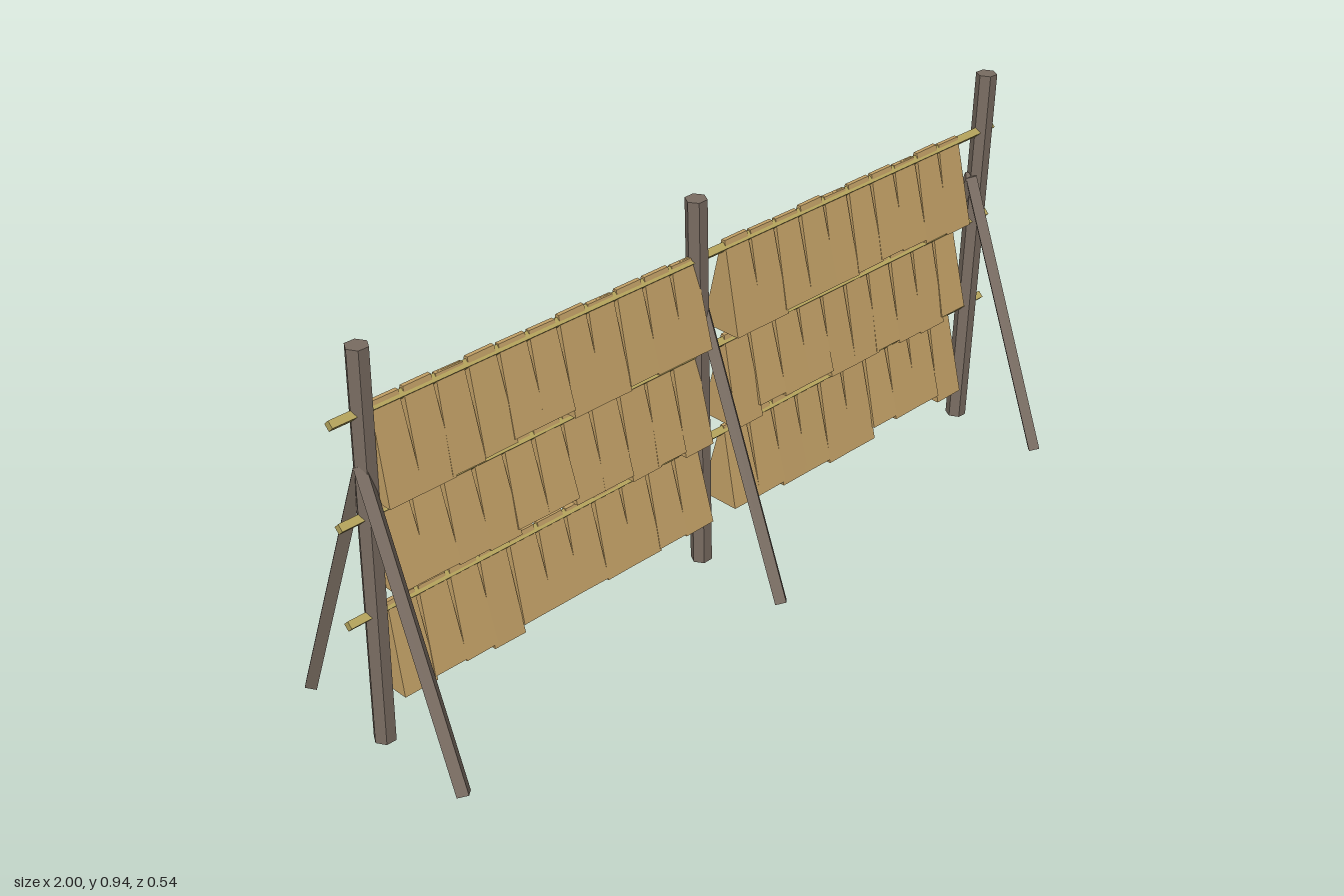
import * as THREE from 'three';

const mat = (color) => new THREE.MeshStandardMaterial({ color, flatShading: true });

// Straight faceted pole between two points
function pole(name, from, to, radius, sides, material, turn = 0) {
  const a = new THREE.Vector3(...from), b = new THREE.Vector3(...to);
  const dir = b.clone().sub(a);
  const geo = new THREE.CylinderGeometry(radius, radius, dir.length(), sides);
  geo.rotateY(turn);
  const mesh = new THREE.Mesh(geo, material);
  mesh.name = name;
  mesh.position.copy(a).add(b).multiplyScalar(0.5);
  mesh.quaternion.setFromUnitVectors(new THREE.Vector3(0, 1, 0), dir.normalize());
  return mesh;
}

// Wedge hanging over a rail: narrow at the top, splayed at the bottom
function wedge(topY, bottomY, tilt, material) {
  const h = topY - bottomY;
  const geo = new THREE.BoxGeometry(1, h, 1);
  geo.translate(0, -h / 2, 0);
  const p = geo.attributes.position;
  for (let i = 0; i < p.count; i++) {
    const top = p.getY(i) > -h / 2;
    p.setX(i, p.getX(i) * (top ? 0.07 : 0.086));
    p.setZ(i, p.getZ(i) * (top ? 0.01 : 0.108));
  }
  geo.computeVertexNormals();
  const mesh = new THREE.Mesh(geo, material);
  mesh.name = 'hangingPiece';
  mesh.rotation.z = tilt;
  return mesh;
}

export function createModel() {
  const model = new THREE.Group();
  const wood = mat(0x7a6d62), cane = mat(0xb5a45c), hide = mat(0xc2a066);

  // Leaning posts, each with a pair of braces in front and behind
  for (const [baseX, topX] of [[-0.935, -0.92], [0, -0.016], [0.935, 0.97]]) {
    const frame = new THREE.Group();
    frame.name = 'supportFrame';
    frame.add(pole('post', [baseX, 0.007, 0], [topX, 0.94, 0], 0.0255, 6, wood, Math.PI / 2));
    for (const s of [1, -1]) {
      frame.add(pole('brace', [baseX, 0.008, s * 0.255], [baseX, 0.68, 0], 0.0185, 4, wood));
    }
    model.add(frame);
  }

  // Rails with their rows of hanging pieces; lengths in each row differ
  const rows = [
    { y: 0.795, ends: [
      [0.59, 0.59, 0.595, 0.6, 0.61, 0.61, 0.59, 0.59, 0.6, 0.595, 0.595],
      [0.59, 0.59, 0.6, 0.6, 0.6, 0.605, 0.61, 0.605, 0.595, 0.59]] },
    { y: 0.56, ends: [
      [0.385, 0.385, 0.38, 0.375, 0.39, 0.39, 0.375, 0.375, 0.36, 0.365, 0.35],
      [0.355, 0.385, 0.375, 0.375, 0.36, 0.36, 0.365, 0.355, 0.35, 0.365]] },
    { y: 0.327, ends: [
      [0.13, 0.14, 0.135, 0.125, 0.145, 0.145, 0.145, 0.14, 0.14, 0.145, 0.14],
      [0.14, 0.14, 0.13, 0.13, 0.12, 0.12, 0.15, 0.14, 0.14, 0.12]] },
  ];
  rows.forEach(({ y, ends }, r) => {
    model.add(pole('rail', [-1, y, 0], [1, y, 0], 0.0125, 4, cane));
    ends.forEach((list, side) => {
      const panel = new THREE.Group();
      panel.name = side ? 'leftPanel' : 'rightPanel';
      list.forEach((bottom, i) => {
        // Small repeating irregularity in tilt and height
        const wobble = Math.sin(i * 2.4 + r * 1.7 + side * 0.9);
        const piece = wedge(y + 0.015 + wobble * 0.003, bottom, wobble * 0.012, hide);
        piece.position.set((side ? 0.102 : -0.87) + i * 0.081, y + 0.015 + wobble * 0.003, 0);
        panel.add(piece);
      });
      model.add(panel);
    });
  });
  return model;
}
